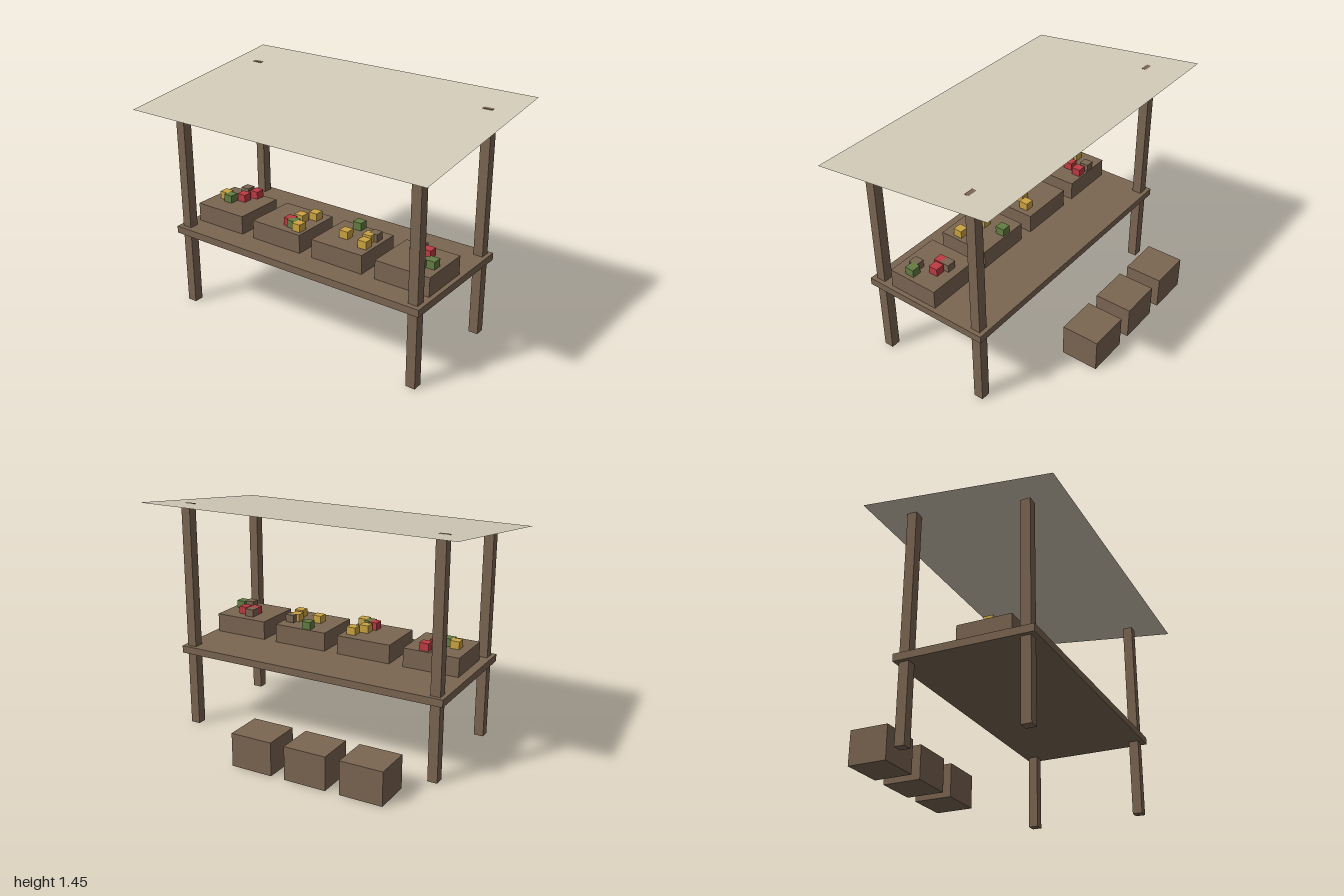
import * as THREE from 'three';

const mat = (name, color) => {
  const m = new THREE.MeshStandardMaterial({ color });
  m.name = name;
  return m;
};

export function createModel() {
  const stall = new THREE.Group();
  stall.name = 'marketStall';

  const wood = mat('wood', 0x7a6551);
  const canvas = mat('canvas', 0xd2cab8);
  canvas.side = THREE.DoubleSide;
  const red = mat('redProduce', 0xbc3c42);
  const yellow = mat('yellowProduce', 0xcba342);
  const green = mat('greenProduce', 0x627d42);

  // Box standing on height y, centred on x and z
  const box = (name, material, w, h, d, x, y, z) => {
    const mesh = new THREE.Mesh(new THREE.BoxGeometry(w, h, d), material);
    mesh.name = name;
    mesh.position.set(x, y + h / 2, z);
    stall.add(mesh);
  };

  // Posts: the back pair is taller and just pierces the canopy
  for (const x of [-0.825, 0.825]) {
    box('frontPost', wood, 0.06, 1.297, 0.06, x, 0, 0.445);
    box('backPost', wood, 0.06, 1.415, 0.06, x, 0, -0.265);
  }

  // Counter
  box('counter', wood, 1.76, 0.045, 0.825, 0, 0.475, 0.0925);

  // Sloping canopy sheet
  const rise = 0.148, run = 1.172;
  const sheet = new THREE.PlaneGeometry(2, Math.hypot(rise, run));
  sheet.rotateX(-Math.PI / 2 + Math.atan2(rise, run));
  const canopy = new THREE.Mesh(sheet, canvas);
  canopy.name = 'canopy';
  canopy.position.set(0, 1.371, 0.085);
  stall.add(canopy);

  // Produce crates on the counter
  for (let i = 0; i < 4; i++) {
    box('produceCrate', wood, 0.353, 0.117, 0.325, -0.65 + i * 0.442, 0.52, 0.193);
  }

  // Storage boxes behind the stall
  for (let i = 0; i < 3; i++) {
    box('storageBox', wood, 0.265, 0.207, 0.238, -0.573 + i * 0.353, 0, -0.56);
  }

  // Produce cubes, bedded slightly into the crates: material, x, z
  const produce = [
    [yellow, -0.742, 0.19], [green, -0.69, 0.212], [red, -0.63, 0.154],
    [red, -0.6, 0.07], [wood, -0.68, 0.062],
    [red, -0.167, 0.264], [green, -0.132, 0.278], [yellow, -0.08, 0.296],
    [yellow, -0.147, 0.186], [yellow, -0.096, 0.113],
    [green, 0.195, 0.067], [yellow, 0.2, 0.209], [yellow, 0.337, 0.172],
    [wood, 0.357, 0.138], [yellow, 0.36, 0.254],
    [green, 0.797, 0.236], [wood, 0.745, 0.256], [red, 0.71, 0.136],
    [red, 0.645, 0.155], [wood, 0.644, 0.108],
  ];
  for (const [material, x, z] of produce) {
    box('produce', material, 0.058, 0.058, 0.058, x, 0.627, z);
  }

  return stall;
}
